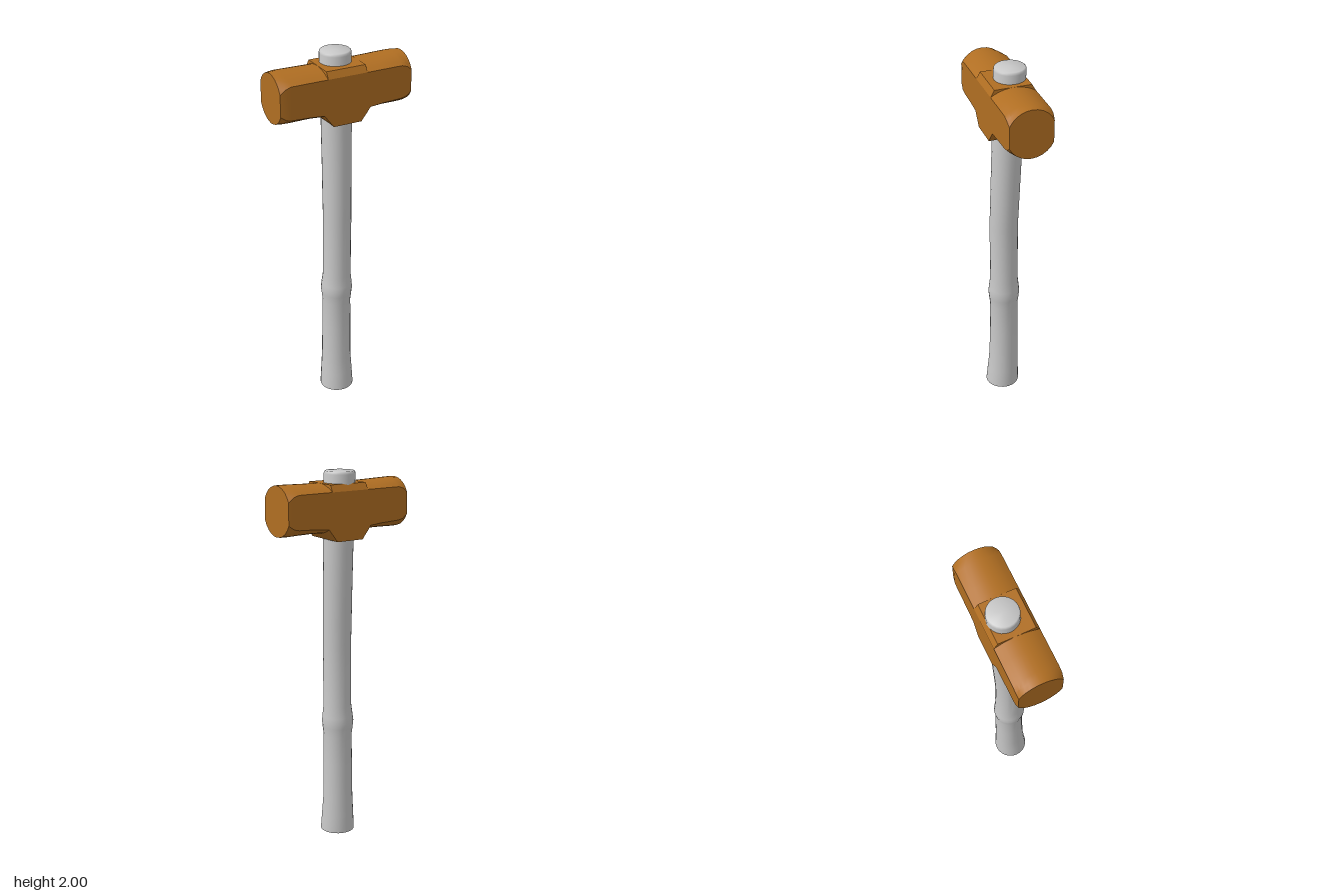
import * as THREE from 'three';
import { toCreasedNormals } from 'three/addons/utils/BufferGeometryUtils.js';

// Closed skin over a row of rings, each counter-clockwise about the row's direction
function loft(rings, crease) {
  const pos = [];
  const tri = (...pts) => pts.forEach((p) => pos.push(p.x, p.y, p.z));
  const n = rings[0].length;
  for (let i = 0; i < rings.length - 1; i++) {
    for (let j = 0; j < n; j++) {
      const k = (j + 1) % n;
      const a = rings[i][j], b = rings[i][k], c = rings[i + 1][k], d = rings[i + 1][j];
      tri(a, b, c);
      tri(a, c, d);
    }
  }
  const middle = (ring) => ring.reduce((s, p) => s.add(p), new THREE.Vector3()).divideScalar(n);
  const first = rings[0], last = rings[rings.length - 1];
  const m0 = middle(first), m1 = middle(last);
  for (let j = 0; j < n; j++) {
    const k = (j + 1) % n;
    tri(m0, first[k], first[j]);
    tri(m1, last[j], last[k]);
  }
  const geometry = new THREE.BufferGeometry();
  geometry.setAttribute('position', new THREE.Float32BufferAttribute(pos, 3));
  return toCreasedNormals(geometry, crease);
}

const STEPS = 10;

// Points from z = -w to z = w that rise along a circular arc from y = edge to y = peak
function arc(w, edge, peak) {
  const s = peak - edge;
  const half = 2 * Math.atan(Math.abs(s) / w);
  return Array.from({ length: STEPS + 1 }, (_, i) => {
    const t = (i / STEPS) * 2 - 1;
    if (half < 1e-4) return [t * w, edge];
    const r = w / Math.sin(half), a = t * half;
    return [r * Math.sin(a), peak - Math.sign(s) * r * (1 - Math.cos(a))];
  });
}

// Flat top with a chamfer along each long edge
function chamfered(w, edge, peak) {
  return Array.from({ length: STEPS + 1 }, (_, i) => {
    if (i === 0 || i === STEPS) return [i ? w : -w, edge];
    return [((i - 1) / (STEPS - 2) * 2 - 1) * 0.097, peak];
  });
}

function headRing(x, w, topEdge, topPeak, lowEdge, lowPeak, block) {
  const top = (block ? chamfered : arc)(w, topEdge, topPeak);
  const low = arc(w, lowEdge, lowPeak).reverse();
  return [...top, ...low].map(([z, y]) => new THREE.Vector3(x, y, z));
}

function headGeometry() {
  // x, half width, top edge, top peak, low edge, low peak, chamfered block
  const half = [
    [0.078, 0.117, 1.905, 1.94, 1.65, 1.65, true],
    [0.109, 0.117, 1.905, 1.94, 1.69, 1.672, true],
    [0.11, 0.117, 1.905, 1.94, 1.691, 1.673, false],
    [0.13, 0.117, 1.905, 1.94, 1.718, 1.686, false],
    [0.2, 0.117, 1.905, 1.942, 1.725, 1.688, false],
    [0.31, 0.117, 1.905, 1.945, 1.73, 1.685, false],
    [0.34, 0.117, 1.895, 1.946, 1.737, 1.684, false],
    [0.368, 0.113, 1.872, 1.945, 1.757, 1.685, false],
  ];
  const mirrored = half.map(([x, ...rest]) => [-x, ...rest]).reverse();
  return loft([...mirrored, ...half].map((s) => headRing(...s)), 0.5);
}

function handleGeometry() {
  // y, centre x, centre z, radius
  const stations = [
    [0, -0.012, 0.018, 0.093],
    [0.1, -0.011, 0.014, 0.087],
    [0.2, -0.01, 0.01, 0.081],
    [0.4, -0.008, 0.009, 0.079],
    [0.56, -0.008, 0.009, 0.077],
    [0.61, -0.008, 0.009, 0.083],
    [0.64, -0.008, 0.009, 0.086],
    [0.67, -0.007, 0.009, 0.083],
    [0.73, -0.006, 0.009, 0.076],
    [1.08, -0.004, 0.01, 0.076],
    [1.2, -0.003, 0.006, 0.077],
    [1.4, -0.001, -0.001, 0.078],
    [1.65, 0.001, -0.01, 0.08],
    [1.985, 0.001, -0.021, 0.082],
    [1.996, 0.001, -0.021, 0.08],
    [2, 0.001, -0.021, 0.075],
  ];
  const sides = 24;
  const rings = stations.map(([y, cx, cz, r]) =>
    Array.from({ length: sides }, (_, j) => {
      const a = (j / sides) * Math.PI * 2;
      return new THREE.Vector3(cx + r * Math.sin(a), y, cz + r * Math.cos(a));
    }));
  return loft(rings, 0.9);
}

export function createModel() {
  const bronze = new THREE.MeshStandardMaterial({ color: 0xb06e22 });
  bronze.name = 'bronze';
  const paleGrey = new THREE.MeshStandardMaterial({ color: 0xc8c8c8 });
  paleGrey.name = 'paleGrey';

  const group = new THREE.Group();
  group.name = 'sledgehammer';

  // Double-faced head with a cheek block around the handle
  const head = new THREE.Mesh(headGeometry(), bronze);
  head.name = 'head';

  // Slightly bowed handle with a flared foot and a grip ridge
  const handle = new THREE.Mesh(handleGeometry(), paleGrey);
  handle.name = 'handle';

  group.add(head, handle);
  return group;
}
